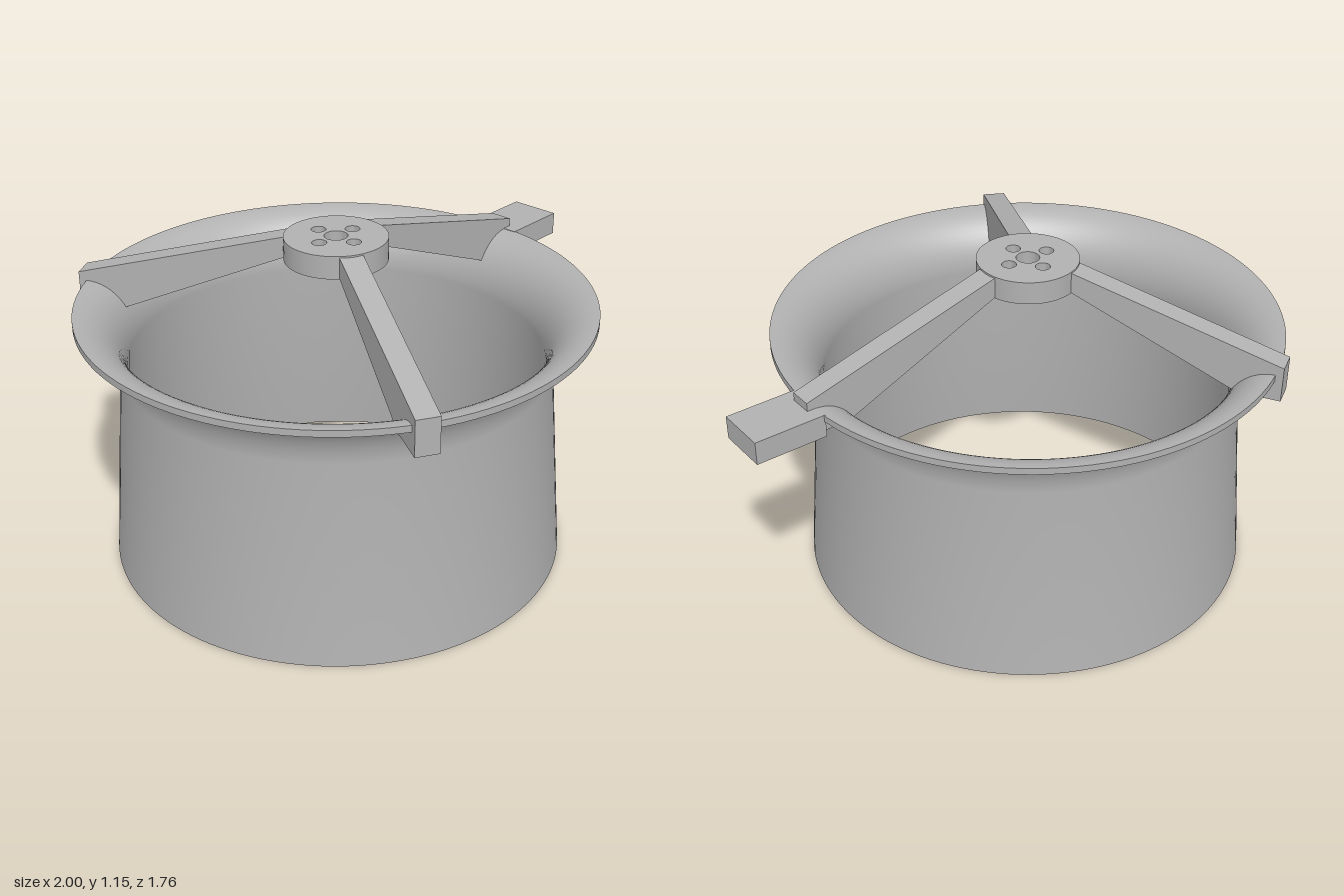
import * as THREE from 'three';
import { toCreasedNormals } from 'three/addons/utils/BufferGeometryUtils.js';

const metal = new THREE.MeshStandardMaterial({ color: 0xb2b2b2 });
metal.name = 'plain grey';

function part(name, geometry, parent) {
  const mesh = new THREE.Mesh(geometry, metal);
  mesh.name = name;
  parent.add(mesh);
  return mesh;
}

// Quarter-ellipse flare from the throat (vertical) out to the rim (horizontal)
function flare(throat, top) {
  const rim = 0.88, base = 0.72, points = [];
  for (let i = 0; i <= 14; i++) {
    const a = (i / 14) * Math.PI / 2;
    points.push(new THREE.Vector2(rim - (rim - throat) * Math.cos(a), base + (top - base) * Math.sin(a)));
  }
  return points;
}

export function createModel() {
  const model = new THREE.Group();
  model.name = 'ductedShroud';

  // Everything is concentric about the duct axis; the tab shifts that axis off centre
  const body = new THREE.Group();
  body.name = 'body';
  body.position.x = -0.12;
  model.add(body);

  // Duct wall: up the outside, over the rim, down the inside, closed at the bottom
  const profile = [
    new THREE.Vector2(0.795, 0),
    ...flare(0.737, 0.897),
    ...flare(0.713, 0.92).reverse(),
    new THREE.Vector2(0.771, 0),
    new THREE.Vector2(0.795, 0),
  ];
  part('duct', toCreasedNormals(new THREE.LatheGeometry(profile, 128), 0.6), body);

  // Motor hub: disc with a shaft hole and four bolt holes
  const disc = new THREE.Shape().absarc(0, 0, 0.175, 0, Math.PI * 2);
  const hole = (x, y, r) => disc.holes.push(new THREE.Path().absarc(x, y, r, 0, Math.PI * 2, true));
  hole(0, 0, 0.04);
  for (let i = 0; i < 4; i++) {
    const a = i * Math.PI / 2;
    hole(0.08 * Math.cos(a), 0.08 * Math.sin(a), 0.025);
  }
  const hubGeometry = new THREE.ExtrudeGeometry(disc, { depth: 0.08, bevelEnabled: false, curveSegments: 32 });
  hubGeometry.rotateX(-Math.PI / 2).translate(0, 1.07, 0);
  part('hub', toCreasedNormals(hubGeometry, 0.6), body);

  // Three tapered arms from the hub down over the rim
  const side = new THREE.Shape([
    [0.14, 1.148], [0.17, 1.145], [0.905, 0.95], [0.905, 0.825], [0.757, 0.825], [0.17, 1.072], [0.14, 1.072],
  ].map(([x, y]) => new THREE.Vector2(x, y)));
  const armGeometry = new THREE.ExtrudeGeometry(side, { depth: 0.08, bevelEnabled: false });
  armGeometry.translate(0, 0, -0.04);
  for (let i = 0; i < 3; i++) {
    part('arm' + (i + 1), armGeometry, body).rotation.y = i * Math.PI * 2 / 3;
  }

  // Mounting tab on the left of the rim
  part('mountingTab', new THREE.BoxGeometry(0.25, 0.081, 0.18), model).position.set(0.875, 0.8805, 0);

  return model;
}
